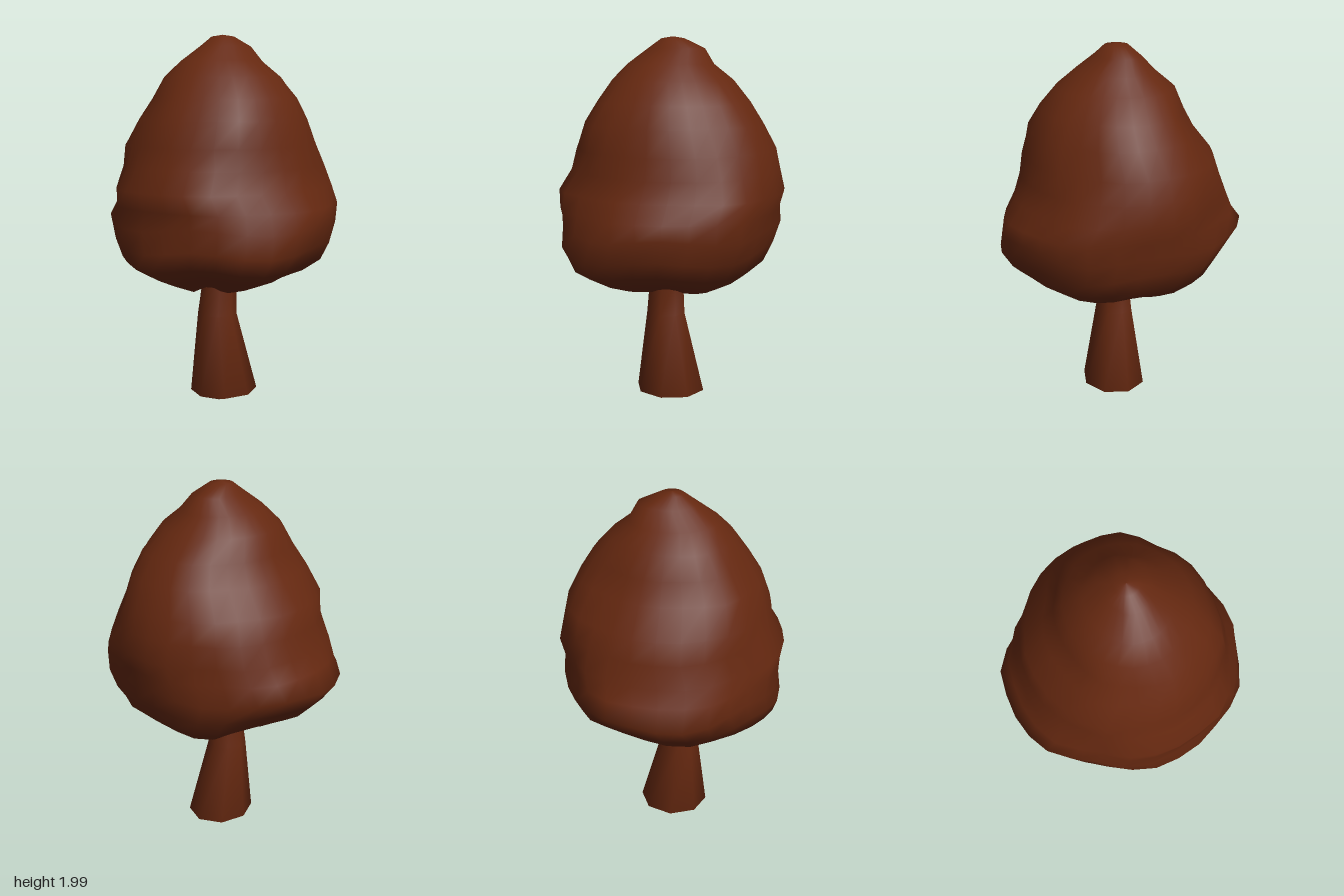
import * as THREE from 'three';

// Closed skin over horizontal rings, rows = [y, xMin, xMax, zBack, zFront], bottom to top
function loft(rows, sides, bump) {
  const pos = [], index = [];
  rows.forEach(([y, x0, x1, z0, z1], i) => {
    for (let j = 0; j < sides; j++) {
      const a = (j / sides) * Math.PI * 2;
      const [k, dy] = bump(a, y, i);
      pos.push(
        (x0 + x1) / 2 + ((x1 - x0) / 2) * Math.cos(a) * k,
        y + dy,
        (z0 + z1) / 2 + ((z1 - z0) / 2) * Math.sin(a) * k
      );
      if (i < rows.length - 1) {
        const p = i * sides + j, q = i * sides + ((j + 1) % sides);
        index.push(p, p + sides, q, q, p + sides, q + sides);
      }
    }
  });
  const geo = new THREE.BufferGeometry();
  geo.setAttribute('position', new THREE.Float32BufferAttribute(pos, 3));
  geo.setIndex(index);
  geo.computeVertexNormals();
  return geo;
}

export function createModel() {
  const model = new THREE.Group();
  const bark = new THREE.MeshStandardMaterial({ color: 0x652810, roughness: 1 });

  const add = (name, geo) => {
    const mesh = new THREE.Mesh(geo, bark);
    mesh.name = name;
    model.add(mesh);
  };

  // Tapering trunk with a blunt pointed foot
  add('trunk', loft([
    [0.01, -0.02, -0.02, 0.02, 0.02],
    [0.08, -0.2, 0.18, -0.125, 0.22],
    [0.51, -0.15, 0.065, -0.075, 0.13],
    [0.7, -0.13, 0.06, -0.05, 0.125],
    [0.8, -0.12, 0.06, -0.05, 0.12],
  ], 8, () => [1, 0]));

  // Lumpy egg-shaped crown: underside hollow, wide skirt, rounded peak
  add('crown', loft([
    [0.73, -0.02, -0.02, 0.03, 0.03],
    [0.7, -0.13, 0.09, -0.08, 0.13],
    [0.67, -0.22, 0.17, -0.14, 0.18],
    [0.71, -0.33, 0.32, -0.24, 0.33],
    [0.76, -0.45, 0.42, -0.33, 0.46],
    [0.83, -0.57, 0.5, -0.46, 0.57],
    [0.92, -0.59, 0.54, -0.55, 0.62],
    [1.03, -0.575, 0.57, -0.635, 0.635],
    [1.12, -0.58, 0.57, -0.58, 0.63],
    [1.21, -0.595, 0.595, -0.54, 0.57],
    [1.32, -0.53, 0.57, -0.505, 0.535],
    [1.43, -0.515, 0.545, -0.475, 0.51],
    [1.56, -0.465, 0.48, -0.37, 0.475],
    [1.67, -0.395, 0.41, -0.305, 0.42],
    [1.78, -0.32, 0.315, -0.265, 0.34],
    [1.86, -0.24, 0.215, -0.17, 0.24],
    [1.94, -0.13, 0.17, -0.08, 0.15],
    [1.99, -0.06, 0.06, -0.03, 0.09],
    [2.0, 0, 0, 0.03, 0.03],
  ], 28, (a, y, i) => {
    if (i === 0 || y > 1.98) return [1, 0];
    const diagonal = Math.sin(2 * a) ** 2;
    const lump = 0.035 * Math.sin(3 * a + 5 * y) + 0.025 * Math.sin(7 * a - 9 * y);
    // bulge at the lower front right, sag in the skirt edge
    const bulge = 0.09 * Math.exp(-((a - 2.1) ** 2) * 5 - ((y - 0.92) ** 2) * 40);
    const sag = y < 1.1 ? 0.018 * Math.sin(5 * a + 1) : 0;
    return [1 + diagonal * lump + bulge, sag];
  }));

  return model;
}
